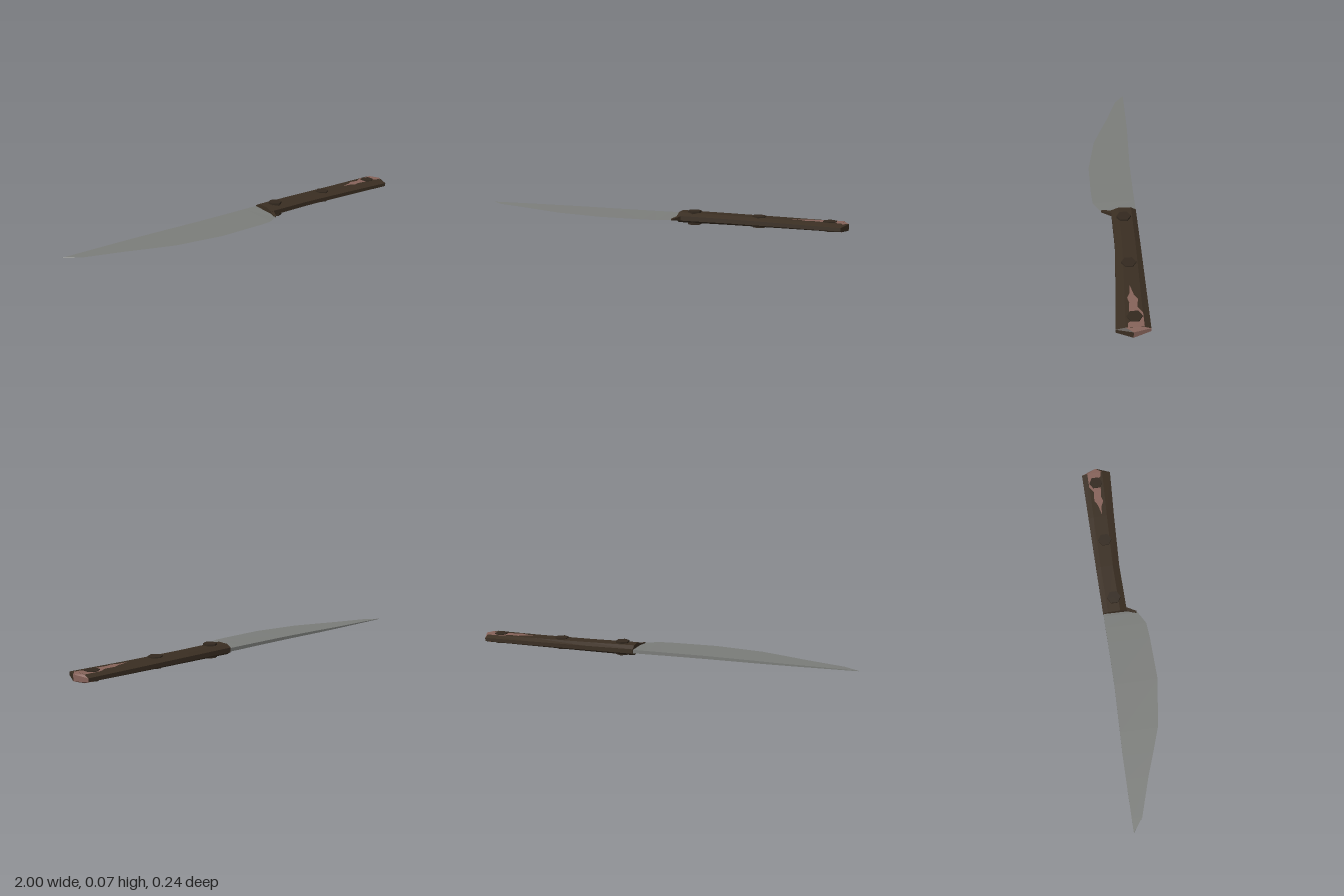
import * as THREE from 'three';
import { ConvexGeometry } from 'three/addons/geometries/ConvexGeometry.js';

const MID = 0.0355; // height of the knife's middle plane

const std = (name, color, side = THREE.FrontSide) => {
  const m = new THREE.MeshStandardMaterial({ color, side });
  m.name = name;
  return m;
};

// Joins equal rings of [x, y, z] points that advance along +x, closing both ends; flat facets.
function loft(rings) {
  const n = rings[0].length, pos = [];
  const tri = (a, b, c) => pos.push(...a, ...b, ...c);
  for (let i = 0; i + 1 < rings.length; i++) {
    for (let j = 0; j < n; j++) {
      const k = (j + 1) % n, a = rings[i], b = rings[i + 1];
      tri(a[j], a[k], b[k]);
      tri(a[j], b[k], b[j]);
    }
  }
  const s = rings[0], e = rings[rings.length - 1];
  for (let j = 1; j + 1 < n; j++) {
    tri(s[0], s[j + 1], s[j]);
    tri(e[0], e[j], e[j + 1]);
  }
  const g = new THREE.BufferGeometry();
  g.setAttribute('position', new THREE.Float32BufferAttribute(pos, 3));
  g.computeVertexNormals();
  return g;
}

const hull = (pts) => new ConvexGeometry(pts.map((p) => new THREE.Vector3(...p)));

// Half height of the handle at x
const halfHeight = (x) => THREE.MathUtils.lerp(0.0265, 0.0195, (x - 0.14) / 0.83);

// Eight-sided handle section, from the back edge over the bottom to the front and back on top
function handleRing(x, back, front) {
  const h = halfHeight(x), w = front - back, e = h * 0.45;
  return [
    [x, MID + e, back], [x, MID + h, back + w * 0.2],
    [x, MID + h, front - w * 0.28], [x, MID + e, front],
    [x, MID - e, front], [x, MID - h, front - w * 0.28],
    [x, MID - h, back + w * 0.2], [x, MID - e, back],
  ];
}

export function createModel() {
  const steel = std('blade steel', 0x7b7d7a);
  const wood = std('dark wood', 0x3a2e22);
  const worn = std('worn wood', 0x86635a, THREE.DoubleSide);
  const faded = std('faded wood', 0x4f3a30, THREE.DoubleSide);
  const rivetMat = std('rivet', 0x33291f);

  const model = new THREE.Group();
  const add = (name, geo, mat) => {
    const m = new THREE.Mesh(geo, mat);
    m.name = name;
    model.add(m);
    return m;
  };

  // Blade: wedge sections of [x, spine z, edge z, half thickness at spine]
  const blade = [
    [-1, -0.122, -0.121, 0.001], [-0.93, -0.122, -0.07, 0.002],
    [-0.74, -0.121, -0.01, 0.004], [-0.62, -0.12, 0.034, 0.005],
    [-0.5, -0.116, 0.076, 0.0065], [-0.25, -0.108, 0.115, 0.008],
    [-0.02, -0.108, 0.111, 0.0085], [0.06, -0.109, 0.105, 0.009],
    [0.125, -0.109, 0.07, 0.009], [0.15, -0.109, 0.012, 0.009],
  ].map(([x, s, e, t]) => [[x, MID - t, s], [x, MID + t, s], [x, MID, e]]);
  add('blade', loft(blade), steel);

  // Dark heel where the blade meets the handle
  const heel = [];
  for (const s of [-1, 1]) {
    heel.push([0.122, MID + s * 0.004, 0.062], [0.132, MID + s * 0.004, 0.066],
      [0.14, MID + s * 0.011, 0.01], [0.16, MID + s * 0.011, 0.012]);
  }
  add('heel', hull(heel), wood);

  // Handle
  const endRing = handleRing(0.972, -0.111, 0.045);
  add('handle', loft([
    handleRing(0.138, -0.11, 0.015), handleRing(0.4, -0.111, 0.013),
    handleRing(0.7, -0.111, 0.028), endRing,
  ]), wood);

  // Pommel: worn back part and dark front part meeting at a ridge
  const ridge = [[1, MID + 0.0165, -0.032], [1, MID - 0.0165, -0.032]];
  add('wornPommel', hull([0, 1, 2, 5, 6, 7].map((i) => endRing[i]).concat(ridge)), worn);
  add('frontPommel', hull([2, 3, 4, 5].map((i) => endRing[i]).concat(ridge)), wood);

  // Hexagonal rivets through the handle: [x, half length]
  for (const [x, half] of [[0.215, 0.0355], [0.555, 0.0285], [0.908, 0.0245]]) {
    const g = new THREE.CylinderGeometry(0.036, 0.036, half * 2, 6).toNonIndexed();
    g.computeVertexNormals();
    add('rivet', g, rivetMat).position.set(x, MID, -0.043);
  }

  // Worn patches, laid on the sloping flat faces of the handle
  const patch = (name, pts, side, mat) => {
    const shape = new THREE.Shape(pts.map(([x, z]) => new THREE.Vector2(x, -z)));
    const g = new THREE.ShapeGeometry(shape).toNonIndexed();
    const p = g.attributes.position;
    for (let i = 0; i < p.count; i++) {
      const x = p.getX(i), z = -p.getY(i);
      p.setXYZ(i, x, MID + side * (halfHeight(x) + 0.0008), z);
    }
    g.computeVertexNormals();
    add(name, g, mat);
  };
  patch('topWear', [[0.71, -0.036], [0.77, -0.05], [0.8, -0.066], [0.85, -0.06],
    [0.885, -0.082], [0.972, -0.082], [0.972, -0.008], [0.945, -0.012],
    [0.93, -0.035], [0.87, -0.02], [0.82, -0.026], [0.79, -0.018], [0.76, -0.032]], 1, worn);
  patch('bottomWear', [[0.77, -0.05], [0.81, -0.07], [0.85, -0.06], [0.87, -0.03],
    [0.84, -0.015], [0.79, -0.025]], -1, faded);
  patch('bottomEndWear', [[0.93, -0.08], [0.972, -0.08], [0.972, 0], [0.945, -0.02]], -1, worn);

  return model;
}
